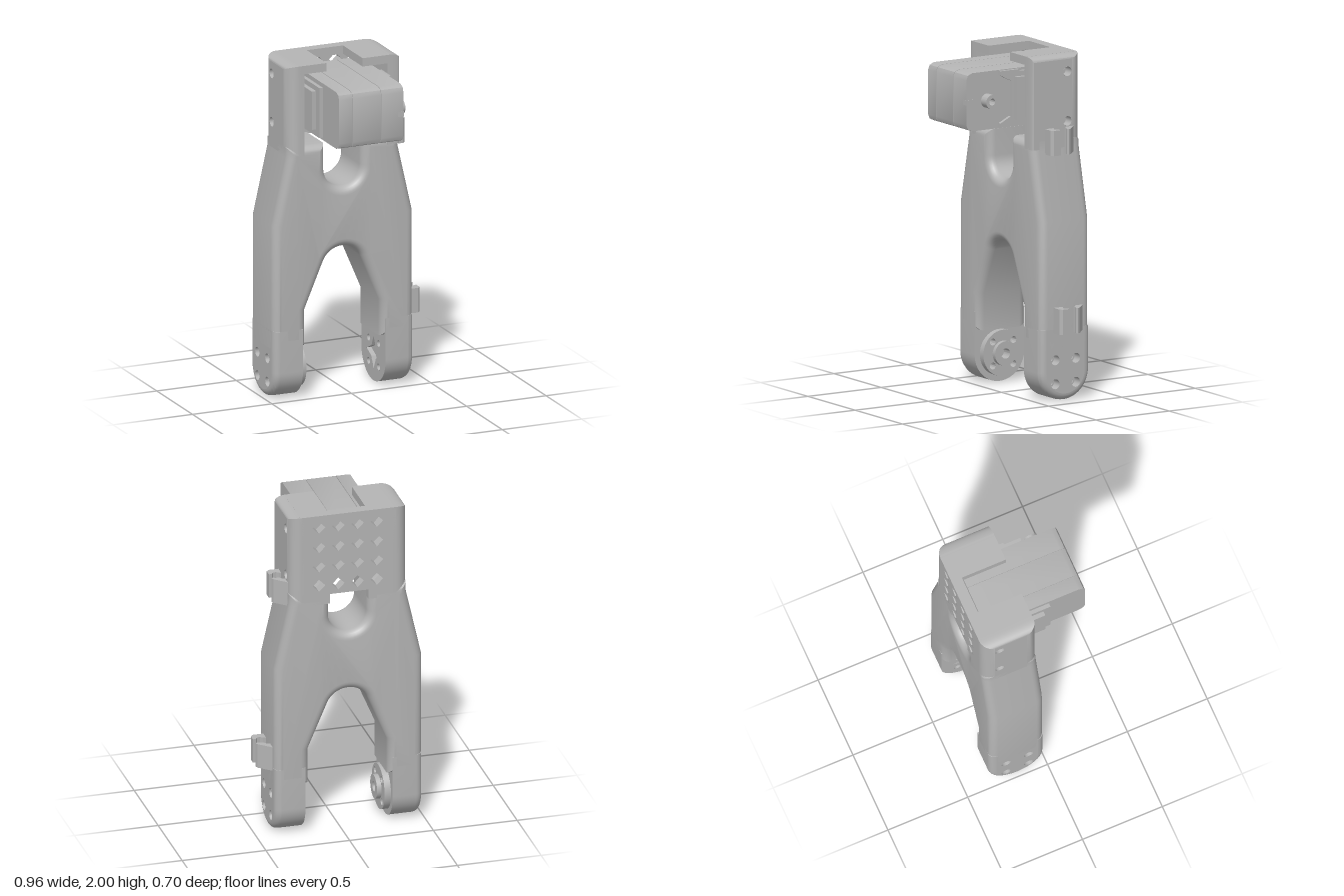
import * as THREE from 'three';
import { toCreasedNormals } from 'three/addons/utils/BufferGeometryUtils.js';

const grey = new THREE.MeshStandardMaterial({ color: 0xb4b4b4, side: THREE.DoubleSide });
grey.name = 'grey plastic';

const shapeOf = (pts) => new THREE.Shape(pts.map(([a, b]) => new THREE.Vector2(a, b)));
const circle = (u, y, r) => new THREE.Path().absarc(u, y, r, 0, Math.PI * 2, true);

export function createModel() {
  const model = new THREE.Group();
  const add = (name, geo, parent = model) => {
    const m = new THREE.Mesh(geo, grey);
    m.name = name;
    parent.add(m);
    return m;
  };
  const box = (name, x0, x1, y0, y1, z0, z1) =>
    add(name, new THREE.BoxGeometry(x1 - x0, y1 - y0, z1 - z0)
      .translate((x0 + x1) / 2, (y0 + y1) / 2, (z0 + z1) / 2));
  const extrude = (shape, depth) =>
    new THREE.ExtrudeGeometry(shape, { depth, bevelEnabled: false, curveSegments: 20 });
  // Side profiles use u = -z, so that u grows towards the back
  const alongX = (name, shape, x0, x1) =>
    add(name, toCreasedNormals(extrude(shape, x1 - x0).rotateY(Math.PI / 2).translate(x0, 0, 0), 0.5));
  const alongY = (name, pts, y0, y1) =>
    add(name, extrude(shapeOf(pts.map(([x, z]) => [x, -z])), y1 - y0)
      .rotateX(-Math.PI / 2).translate(0, y0, 0));
  const tube = (name, x0, x1, u, y, r) =>
    add(name, new THREE.CylinderGeometry(r, r, Math.abs(x1 - x0), 20, 1, true)
      .rotateZ(Math.PI / 2).translate((x0 + x1) / 2, y, -u));

  // Plate facing sideways: filleted outer edge, flat inner face, counterbored holes
  function sidePlate(name, outline, xo, xi, r, holes, bore, recess) {
    const s = Math.sign(xi - xo), rings = [];
    for (let k = 0; k <= 6; k++) {
      const a = (k / 6) * Math.PI / 2;
      rings.push([xo + s * r * (1 - Math.sin(a)), r * (1 - Math.cos(a))]);
    }
    rings.unshift([xi, 0]);
    const pos = [], idx = [], n = outline(0).length;
    rings.forEach(([x, d]) => outline(d).forEach(([u, y]) => pos.push(x, y, -u)));
    for (let k = 0; k < rings.length - 1; k++)
      for (let i = 0; i < n; i++) {
        const a = k * n + i, b = k * n + (i + 1) % n;
        if (s < 0) idx.push(a, b, a + n, b, b + n, a + n);
        else idx.push(a, a + n, b, b, a + n, b + n);
      }
    const wall = new THREE.BufferGeometry();
    wall.setAttribute('position', new THREE.Float32BufferAttribute(pos, 3));
    wall.setIndex(idx);
    add(name + 'Wall', toCreasedNormals(wall, 0.6));

    const [R, q] = bore, xm = xo + s * 0.06;
    const cap = (label, d, x, rad, extra) => {
      const sh = shapeOf(outline(d));
      holes.forEach(([u, y]) => sh.holes.push(circle(u, y, rad)));
      if (extra) sh.holes.push(new THREE.Path(extra.map(([u, y]) => new THREE.Vector2(u, y))));
      add(name + label, new THREE.ShapeGeometry(sh, 20).rotateY(Math.PI / 2).translate(x, 0, 0));
    };
    cap('Outside', r, xo, R);
    cap('Inside', 0, xi, q, recess);
    holes.forEach(([u, y]) => {
      tube(name + 'Counterbore', xo, xm, u, y, R);
      tube(name + 'Bore', xm, xi, u, y, q);
      add(name + 'BoreSeat', new THREE.RingGeometry(q, R, 20).rotateY(Math.PI / 2).translate(xm, y, -u));
    });
  }

  // Main frame: forked legs below, U slot above, filleted front and back
  const C = -0.04, half = [[0.235, 0.31], [0.44, 0.31], [0.44, 1.05], [0.35, 1.45], [0.35, 1.51], [0.115, 1.51]];
  const right = half.map(([x, y]) => [C + x, y]);
  const left = half.map(([x, y]) => [C - x, y]).reverse();
  const arc = (cy, r, a0, a1, n = 20) => Array.from({ length: n + 1 }, (_, i) => {
    const a = (a0 + (a1 - a0) * i / n) * Math.PI / 180;
    return [C + r * Math.cos(a), cy + r * Math.sin(a)];
  });
  const bevel = 0.05;
  const frame = new THREE.ExtrudeGeometry(shapeOf([
    ...right, ...arc(1.355, 0.115, 0, -180), ...left,
    [C - 0.235, 0.53], ...arc(0.75, 0.13, 155, 25), [C + 0.235, 0.53],
  ]), { depth: 0.34 - 2 * bevel, bevelSize: bevel, bevelThickness: bevel, bevelOffset: -bevel, bevelSegments: 6 });
  add('frame', toCreasedNormals(frame.translate(0, 0, -0.35 + bevel), 0.5));

  // Rounded leg ends with four screw holes each
  const U = 0.18, Y = 0.17;
  const legOutline = (d) => {
    const w = 0.17 - d, pts = [[U + w, 0.42], [U - w, 0.42]];
    for (let i = 0; i <= 28; i++) {
      const a = Math.PI + Math.PI * i / 28;
      pts.push([U + w * Math.cos(a), Y + w * Math.sin(a)]);
    }
    return pts;
  };
  const screws = [[0.11, 0.1], [0.25, 0.1], [0.11, 0.24], [0.25, 0.24]];
  const star = Array.from({ length: 8 }, (_, i) => {
    const a = -i * Math.PI / 4, r = i % 2 ? 0.045 : 0.1;
    return [U + r * Math.cos(a), Y + r * Math.sin(a)];
  });
  sidePlate('rightLegEnd', legOutline, -0.48, -0.3, 0.04, screws, [0.029, 0.02]);
  sidePlate('leftLegEnd', legOutline, 0.4, 0.22, 0.04, screws, [0.029, 0.02], star);
  alongX('hornRecessFloor', shapeOf(star), 0.25, 0.26);
  const starWall = shapeOf(star.map(([u, y]) => [U + (u - U) * 1.04, Y + (y - Y) * 1.04]));
  starWall.holes.push(new THREE.Path(star.map(([u, y]) => new THREE.Vector2(u, y))));
  alongX('hornRecessWall', starWall, 0.221, 0.255);

  // Pivot disc on the inside of the right leg
  const disc = new THREE.Shape().absarc(U, Y, 0.135, 0, Math.PI * 2);
  screws.forEach(([u, y]) => disc.holes.push(circle(u, y, 0.02)));
  disc.holes.push(circle(U, Y, 0.03));
  alongX('pivotDisc', disc, -0.3, -0.262);
  const hub = new THREE.Shape().absarc(U, Y, 0.072, 0, Math.PI * 2);
  hub.holes.push(circle(U, Y, 0.03));
  alongX('pivotHub', hub, -0.27, -0.235);

  // Upper housing: side walls, perforated back wall and notched roof
  const wallOutline = (front) => (d) => {
    const t = 2 - 0.4 * d, f = 0.01 + front * d;
    return [[f, 1.46], [0.35 - d, 1.46], [0.35 - d, t], [f, t]];
  };
  const sideHoles = [[0.25, 1.9], [0.25, 1.61]];
  sidePlate('rightHousing', wallOutline(1), -0.39, -0.29, 0.07, sideHoles, [0.028, 0.014]);
  sidePlate('leftHousing', wallOutline(0.15), 0.31, 0.23, 0.07, sideHoles, [0.028, 0.014]);
  const back = shapeOf([[-0.32, 1.44], [-0.155, 1.44], [-0.155, 1.5], [0.075, 1.5],
    [0.075, 1.44], [0.24, 1.44], [0.24, 1.985], [-0.32, 1.985]]);
  for (let i = 0; i < 4; i++)
    for (let j = 0; j < 4; j++) {
      const x = -0.205 + i * 0.115, y = 1.56 + j * 0.122, h = 0.038;
      back.holes.push(new THREE.Path([[x - h, y], [x, y + h], [x + h, y], [x, y - h]]
        .map(([a, b]) => new THREE.Vector2(a, b))));
    }
  add('backWall', extrude(back, 0.065).translate(0, 0, -0.35));
  alongY('roof', [[-0.32, -0.01], [-0.153, -0.01], [-0.153, -0.285], [0.075, -0.285], [0.075, -0.01],
    [0.25, -0.01], [0.25, -0.34], [0.235, -0.35], [-0.32, -0.35]], 1.95, 2);

  // Motor case in three slabs with fine seams between them
  const caseShape = (g) => shapeOf([[-0.35 + g, 1.625], [-0.34 + g, 1.598], [-0.31, 1.585 + g], [0.27, 1.585 + g],
    [0.27, 1.925 - g], [-0.31, 1.925 - g], [-0.34 + g, 1.912], [-0.35 + g, 1.885]]);
  [[-0.235, -0.152], [-0.148, 0.028], [0.032, 0.17]].forEach(([a, b]) => alongX('motorCase', caseShape(0), a, b));
  alongX('motorCore', caseShape(0.006), -0.23, 0.165);
  box('motorRightCover', -0.258, -0.23, 1.6, 1.9, -0.27, 0.125);
  box('motorRightPlate', -0.285, -0.25, 1.64, 1.87, -0.25, 0.08);
  box('motorLeftCover', 0.165, 0.19, 1.6, 1.91, -0.27, 0.05);
  box('motorLeftPanel', 0.185, 0.215, 1.63, 1.88, -0.2, 0.035);
  // Mounting ears above and below the left cover
  for (const s of [1, -1])
    alongX('mountingEar', shapeOf([[-0.13, 1.755 + s * 0.165], [0, 1.755 + s * 0.165], [0, 1.755 + s * 0.125],
      [-0.06, 1.755 + s * 0.105], [-0.13, 1.755 + s * 0.14]]), 0.165, 0.19);

  // Output shaft with hollow end, and a small cable tab
  const shaft = new THREE.Shape().absarc(-0.21, 1.755, 0.041, 0, Math.PI * 2);
  shaft.holes.push(circle(-0.21, 1.755, 0.02));
  alongX('outputShaft', shaft, 0.165, 0.227);
  box('cableTab', 0.135, 0.174, 1.74, 1.77, 0.29, 0.351);

  // Cable clips on the left side: a slanted hook facing a short jaw
  for (const [x, y] of [[0.31, 1.43], [0.405, 0.4]]) {
    const clip = (name, pts) => alongY(name, pts.map(([a, z]) => [x + a, z]), y, y + 0.148);
    clip('clipHook', [[-0.03, -0.3], [0, -0.292], [0.068, -0.228], [0.074, -0.212], [0.066, -0.206],
      [0.046, -0.214], [0.03, -0.212], [0.012, -0.236], [-0.03, -0.25]]);
    clip('clipJaw', [[-0.03, -0.152], [0.012, -0.152], [0.026, -0.138], [0.044, -0.14], [0.056, -0.156],
      [0.074, -0.158], [0.074, -0.112], [0.06, -0.097], [-0.03, -0.097]]);
  }
  return model;
}
